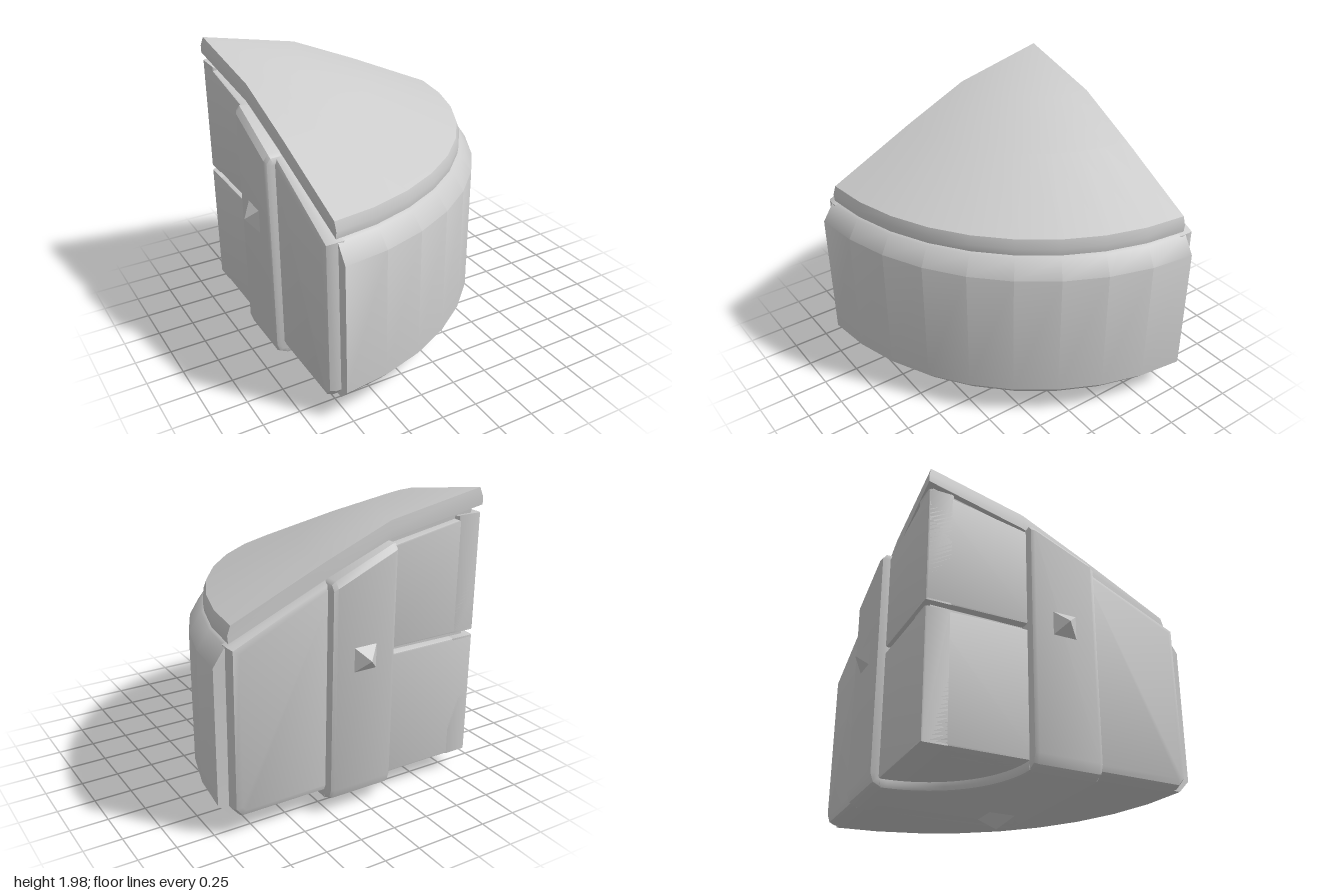
import * as THREE from 'three';
import { toCreasedNormals } from 'three/addons/utils/BufferGeometryUtils.js';

const C = -0.86;                                  // corner of the quarter round in x and z
const A0 = THREE.MathUtils.degToRad(2.4), A1 = Math.PI / 2 - A0, SEG = 9;
const PROFILE = [[0, 1.98], [0.38, 1.85], [0.65, 1.65], [1, 1.37]]; // roof height from corner to rim

const material = new THREE.MeshStandardMaterial({ color: 0xcccccc });

function roofY(f) {
  for (let i = 1; i < PROFILE.length; i++) {
    const [f0, y0] = PROFILE[i - 1], [f1, y1] = PROFILE[i];
    if (f <= f1) return y0 + (y1 - y0) * (f - f0) / (f1 - f0);
  }
  return 1.37;
}

function indexed(positions, index) {
  const g = new THREE.BufferGeometry();
  g.setAttribute('position', new THREE.Float32BufferAttribute(positions, 3));
  g.setIndex(index);
  return g;
}

function mesh(name, geometry, crease = 0.6) {
  const m = new THREE.Mesh(toCreasedNormals(geometry, crease), material);
  m.name = name;
  return m;
}

// Swap x and z (mirror over the diagonal), keeping faces outward
function swapXZ(geometry) {
  const p = (geometry.index ? geometry.toNonIndexed() : geometry).getAttribute('position');
  const out = [];
  for (let i = 0; i < p.count; i += 3)
    for (const k of [i, i + 2, i + 1]) out.push(p.getZ(k), p.getY(k), p.getX(k));
  const g = new THREE.BufferGeometry();
  g.setAttribute('position', new THREE.Float32BufferAttribute(out, 3));
  return g;
}

function polygon(points) {
  return new THREE.Shape(points.map(([x, y]) => new THREE.Vector2(x, y)));
}

function bevelled(shape, depth, b) {
  const g = new THREE.ExtrudeGeometry(shape, {
    depth: depth - 2 * b, bevelEnabled: true, bevelSize: b, bevelThickness: b,
    bevelOffset: -b, bevelSegments: 2, curveSegments: 12
  });
  return g.translate(0, 0, b);
}

// Plan outline: corner, one straight side, arc, other straight side
function outline(radius, corner) {
  const pts = [[-corner, -corner, 0]];
  const at = a => [C + radius * Math.cos(a), C + radius * Math.sin(a)];
  const side = (a, f) => {
    const e = at(a);
    return [-corner + (e[0] + corner) * f, -corner + (e[1] + corner) * f, f];
  };
  pts.push(side(A0, 0.38), side(A0, 0.65));
  for (let i = 0; i <= SEG; i++) pts.push([...at(A0 + (A1 - A0) * i / SEG), 1]);
  pts.push(side(A1, 0.65), side(A1, 0.38));
  return pts;
}

// Curved wall, stepped rim and eave, lofted from stacked outlines
function coreGeometry() {
  const levels = [
    [1.77, 0.82, () => 0.14],
    [1.845, 0.82, () => 0.22],
    [1.85, 0.82, f => roofY(f) - 0.24],
    [1.77, 0.83, f => roofY(f) - 0.12],
    [1.75, 0.875, f => roofY(f) - 0.11],
    [1.755, 0.875, f => roofY(f) - 0.06],
    [1.735, 0.86, f => roofY(f)]
  ];
  const pos = [], index = [];
  let n = 0;
  for (const [r, c, y] of levels) {
    const pts = outline(r, c);
    n = pts.length;
    for (const [x, z, f] of pts) pos.push(x, y(f), z);
  }
  for (let l = 0; l < levels.length - 1; l++)
    for (let i = 0; i < n; i++) {
      const a = l * n + i, b = l * n + (i + 1) % n;
      index.push(a, a + n, b, b, a + n, b + n);
    }
  for (let i = 1; i < n - 1; i++) index.push(0, i, i + 1);
  return indexed(pos, index);
}

function roofGeometry() {
  const pos = [], index = [], w = SEG + 1;
  PROFILE.forEach(([f, y], j) => {
    for (let i = 0; i < w; i++) {
      const a = A0 + (A1 - A0) * i / SEG;
      pos.push(C + 1.735 * f * Math.cos(a), y, C + 1.735 * f * Math.sin(a));
      if (j && i) {
        const q = j * w + i, p = q - w;
        if (j > 1) index.push(p - 1, p, q - 1);
        index.push(p, q, q - 1);
      }
    }
  });
  return indexed(pos, index);
}

// Panel on the back side: points are (distance from corner, height)
function sidePanel(points, face, b) {
  const shape = polygon(points.map(([u, y]) => [-(u + C), y]));
  return bevelled(shape, face - 0.7, b).rotateY(Math.PI).translate(0, 0, -0.7);
}

// Upright strap with a chamfered foot, its top following the roof slope
function strapGeometry() {
  const shape = polygon([[-0.7, 1.74], [-0.9, 1.74], [-0.93, 1.7], [-0.93, 0.17],
    [-0.91, 0.11], [-0.85, 0.08], [-0.76, 0.08], [-0.76, 0.22], [-0.7, 0.3]]);
  const g = bevelled(shape, 0.47, 0.035).rotateY(-Math.PI / 2).translate(0.27, 0, 0);
  const p = g.getAttribute('position');
  for (let i = 0; i < p.count; i++)
    if (p.getY(i) > 1.3) p.setY(i, p.getY(i) - 0.42 * (p.getX(i) + 0.2));
  return g;
}

function footGeometry() {
  const s = new THREE.Shape();
  s.moveTo(-0.2, -0.86);
  s.lineTo(0.27, -0.86);
  s.lineTo(0.25, 0.19);
  s.lineTo(0.19, 0.25);
  s.lineTo(-0.86, 0.27);
  s.lineTo(-0.86, -0.2);
  s.absarc(C, C, 0.66, Math.PI / 2, 0, true);
  return bevelled(s, 0.12, 0.03).rotateX(Math.PI / 2).translate(0, 0.2, 0);
}

function spikeGeometry() {
  return new THREE.ConeGeometry(0.145, 0.09, 4).rotateY(Math.PI / 4);
}

export function createModel() {
  const model = new THREE.Group();
  model.add(mesh('curvedBody', coreGeometry()), mesh('roof', roofGeometry(), 0.7));

  // Parts repeated on both straight sides
  const sideParts = {
    lowerCornerBlock: sidePanel([[-0.01, 0.14], [0.72, 0.14], [0.72, 0.99], [-0.01, 0.99]], 0.87, 0.012),
    upperCornerBlock: sidePanel([[-0.01, 1.03], [0.72, 1.03], [0.72, 1.69], [-0.01, 1.82]], 0.87, 0.012),
    outerPanel: sidePanel([[1.05, 0.14], [1.72, 0.14], [1.77, 0.2], [1.77, 1.25], [1.05, 1.57]], 0.87, 0.05),
    strap: strapGeometry(),
    sideSpike: spikeGeometry().rotateX(-Math.PI / 2).translate(0.03, 1.04, -0.955)
  };
  for (const [name, g] of Object.entries(sideParts)) {
    const crease = name === 'sideSpike' ? 0.1 : 0.6;
    model.add(mesh(name + 'Back', g, crease), mesh(name + 'Right', swapXZ(g), crease));
  }

  // Angled strap and spike underneath
  model.add(mesh('bottomStrap', footGeometry()));
  model.add(mesh('bottomSpike', spikeGeometry().rotateX(Math.PI).translate(0.03, 0.045, 0.03), 0.1));
  return model;
}
